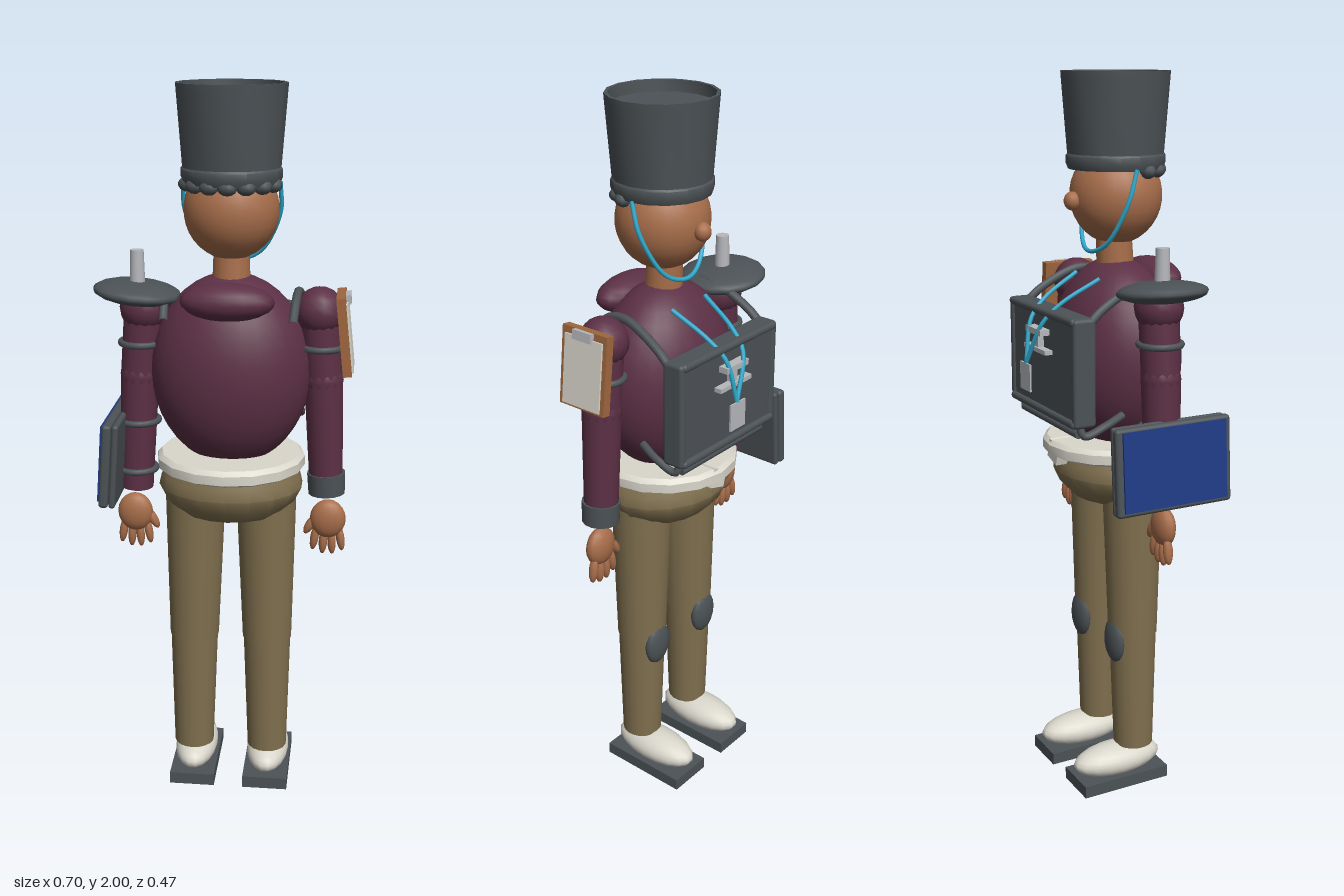
import * as THREE from 'three';
import { toCreasedNormals } from 'three/addons/utils/BufferGeometryUtils.js';
import { RoundedBoxGeometry } from 'three/addons/geometries/RoundedBoxGeometry.js';

const mat = (name, color) => Object.assign(new THREE.MeshStandardMaterial({ color }), { name });

export function createModel() {
  const grey = mat('charcoal', 0x4c5256), maroon = mat('maroon cloth', 0x5c3045), khaki = mat('khaki cloth', 0x80704f),
    skin = mat('skin', 0xa86e4b), cream = mat('cream', 0xdad7cc), cyan = mat('cyan cord', 0x2fa9cc),
    navy = mat('navy screen', 0x1f3a86), silver = mat('silver', 0xb6b8bc), wood = mat('wood', 0xa0683f);

  // everything is symmetric about the body axis, which is slightly off centre
  const body = new THREE.Group();
  body.name = 'body';
  body.position.set(0.018, 0, 0.027);

  const add = (name, geo, m, pos = [0, 0, 0], rot = [0, 0, 0], parent = body) => {
    const mesh = new THREE.Mesh(geo, m);
    mesh.name = name;
    mesh.position.set(...pos);
    mesh.rotation.set(...rot);
    parent.add(mesh);
    return mesh;
  };
  const ball = (name, m, pos, r, seg = 16, rot, parent) =>
    add(name, new THREE.SphereGeometry(1, seg, Math.ceil(seg * 0.7)).scale(...r), m, pos, rot, parent);
  const box = (name, m, pos, s, rot, parent) => add(name, new THREE.BoxGeometry(...s), m, pos, rot, parent);
  const rounded = (name, m, pos, s, r, rot, parent) =>
    add(name, new RoundedBoxGeometry(...s, 2, r), m, pos, rot, parent);
  const limb = (name, m, a, b, ra, rb, seg = 14) => {
    const A = new THREE.Vector3(...a), B = new THREE.Vector3(...b);
    const mesh = add(name, new THREE.CylinderGeometry(ra, rb, A.distanceTo(B), seg), m);
    mesh.position.copy(A).lerp(B, 0.5);
    mesh.quaternion.setFromUnitVectors(new THREE.Vector3(0, 1, 0), A.sub(B).normalize());
    return mesh;
  };
  const cord = (name, m, pts, r, seg = 20) => {
    const curve = new THREE.CatmullRomCurve3(pts.map(p => new THREE.Vector3(...p)));
    return add(name, new THREE.TubeGeometry(curve, seg, r, 8), m);
  };
  const lathe = (pts, seg) =>
    toCreasedNormals(new THREE.LatheGeometry(pts.map(p => new THREE.Vector2(...p)), seg), 0.7);

  // tall hat with a recessed crown
  add('hat', lathe([[0, 1.75], [0.127, 1.75], [0.133, 1.765], [0.133, 1.785], [0.129, 1.79], [0.144, 1.985],
    [0.145, 2], [0.136, 2], [0.134, 1.97], [0, 1.97]], 16), grey);

  // head
  ball('head', skin, [0, 1.68, 0], [0.126, 0.13, 0.124], 24);
  ball('nose', skin, [0, 1.67, -0.13], [0.024, 0.025, 0.022], 12);
  limb('neck', skin, [0, 1.57, -0.005], [0, 1.46, 0], 0.048, 0.052);
  for (let i = 0; i < 7; i++) {
    const a = -1.25 + i * 2.5 / 6;
    ball('hairCurl', grey, [Math.sin(a) * 0.115, 1.748, Math.cos(a) * 0.112], [0.026, 0.02, 0.022], 10);
  }
  cord('chinStrap', cyan, [[-0.126, 1.755, -0.005], [-0.126, 1.67, -0.03], [-0.07, 1.56, -0.065], [0, 1.535, -0.08],
    [0.07, 1.56, -0.065], [0.126, 1.67, -0.03], [0.126, 1.755, -0.005]], 0.006, 32);

  // torso, hood, belt and hips
  ball('torso', maroon, [0, 1.25, 0], [0.217, 0.265, 0.169], 28);
  ball('hood', maroon, [0, 1.458, 0.112], [0.124, 0.05, 0.062], 16);
  add('belt', lathe([[0, 0.975], [0.185, 0.975], [0.204, 0.985], [0.204, 1.01], [0.192, 1.022], [0, 1.022]], 16), cream);
  box('buckle', cream, [0, 0.99, -0.165], [0.055, 0.055, 0.06], [0, 0, 0.3]);
  add('hips', lathe([[0, 0.82], [0.07, 0.827], [0.14, 0.85], [0.18, 0.885], [0.2, 0.925], [0.193, 0.955], [0.18, 0.985],
    [0, 0.985]], 18).scale(1, 1, 0.86), khaki);

  for (const s of [-1, 1]) {
    // leg, knee pad and shoe
    limb('thigh', khaki, [s * 0.099, 0.9, 0], [s * 0.105, 0.46, 0], 0.084, 0.07, 18);
    limb('shin', khaki, [s * 0.105, 0.48, 0], [s * 0.108, 0.11, 0.002], 0.068, 0.057, 18);
    ball('kneePad', grey, [s * 0.105, 0.44, -0.058], [0.048, 0.066, 0.022], 14);
    ball('shoe', cream, [s * 0.107, 0.068, -0.052], [0.062, 0.047, 0.136], 18);
    box('sole', grey, [s * 0.107, 0.018, -0.052], [0.13, 0.035, 0.268]);

    // arm
    ball('shoulder', maroon, [s * 0.236, 1.415, 0], [0.066, 0.066, 0.066], 14);
    limb('upperArm', maroon, [s * 0.235, 1.415, 0], [s * 0.25, 1.23, 0], 0.054, 0.052);
    ball('elbow', maroon, [s * 0.25, 1.23, 0], [0.054, 0.054, 0.054], 14);
    limb('forearm', maroon, [s * 0.25, 1.23, 0], [s * 0.265, 0.905, 0], 0.053, 0.046);

    // hand with four fingers and a thumb
    ball('palm', skin, [s * 0.271, 0.827, 0], [0.05, 0.056, 0.028], 14);
    for (let i = 0; i < 4; i++)
      ball('finger', skin, [s * (0.235 + i * 0.024), i % 3 ? 0.757 : 0.768, -0.005], [0.012, 0.038, 0.014], 10,
        [0, 0, s * (i - 1.5) * 0.1]);
    ball('thumb', skin, [s * 0.222, 0.806, -0.005], [0.013, 0.032, 0.014], 10, [0, 0, s * -0.5]);

    // pack straps over the shoulder and at the waist
    cord('shoulderStrap', grey, [[s * 0.19, 1.37, -0.185], [s * 0.187, 1.41, -0.14], [s * 0.178, 1.462, -0.03],
      [s * 0.175, 1.455, 0.03], [s * 0.17, 1.4, 0.095]], 0.012);
    cord('waistStrap', grey, [[s * 0.17, 1.12, -0.2], [s * 0.18, 1.08, -0.19], [s * 0.185, 1.1, -0.13],
      [s * 0.17, 1.12, -0.07]], 0.011);
  }

  // chest pack with a raised rim
  rounded('pack', grey, [0, 1.25, -0.195], [0.37, 0.27, 0.055], 0.01);
  for (const s of [-1, 1]) {
    rounded('packSideRim', grey, [s * 0.19, 1.25, -0.195], [0.025, 0.29, 0.065], 0.011);
    rounded('packEndRim', grey, [0, 1.25 + s * 0.135, -0.2], [0.39, 0.022, 0.065], 0.01);
  }
  limb('packLowerBar', grey, [-0.17, 1.082, -0.2], [0.17, 1.082, -0.2], 0.011, 0.011, 10);

  // metal fittings, lanyard and badge
  box('fittingBar', silver, [0, 1.335, -0.235], [0.09, 0.016, 0.03]);
  box('fittingBar', silver, [0, 1.285, -0.235], [0.13, 0.012, 0.022]);
  box('fittingPost', silver, [0, 1.31, -0.23], [0.02, 0.055, 0.02]);
  for (const s of [-1, 1])
    cord('lanyard', cyan, [[s * 0.068, 1.47, -0.085], [s * 0.05, 1.41, -0.19], [s * 0.036, 1.36, -0.238],
      [0.018, 1.245, -0.262]], 0.006);
  box('badge', silver, [0.018, 1.208, -0.264], [0.062, 0.075, 0.005]);

  // domed shoulder plate with a peg
  ball('shoulderPlate', grey, [-0.253, 1.457, 0], [0.119, 0.03, 0.121], 16, [0, 0, -0.1]);
  add('peg', new THREE.CylinderGeometry(0.018, 0.021, 0.1, 14), silver, [-0.252, 1.52, 0]);

  // clipboard on the left arm
  const clipboard = new THREE.Group();
  clipboard.name = 'clipboard';
  clipboard.position.set(0.303, 1.36, 0);
  clipboard.rotation.z = 0.11;
  body.add(clipboard);
  box('board', wood, [0, 0, 0], [0.024, 0.21, 0.15], undefined, clipboard);
  box('paper', cream, [0.0145, -0.006, 0], [0.005, 0.185, 0.125], undefined, clipboard);
  box('clip', silver, [0.018, 0.092, 0], [0.014, 0.025, 0.062], undefined, clipboard);
  const band = (name, x, y, r, rot = 0) =>
    add(name, new THREE.TorusGeometry(r, 0.009, 8, 18), grey, [x, y, 0], [Math.PI / 2, rot, 0]);
  band('armBand', 0.243, 1.32, 0.056);
  limb('wristCuff', grey, [0.263, 0.965, 0], [0.266, 0.905, 0], 0.053, 0.051);

  // tablet on the right forearm
  const tablet = new THREE.Group();
  tablet.name = 'tablet';
  tablet.position.set(-0.318, 1.012, -0.003);
  tablet.rotation.z = -0.07;
  body.add(tablet);
  rounded('tabletBack', grey, [0.017, 0, 0], [0.018, 0.235, 0.335], 0.008, undefined, tablet);
  rounded('tabletBody', grey, [-0.006, 0, 0], [0.026, 0.235, 0.343], 0.01, undefined, tablet);
  box('tabletScreen', navy, [-0.0215, 0.002, 0], [0.006, 0.212, 0.308], undefined, tablet);
  band('forearmBand', -0.255, 1.1, 0.054);
  band('forearmBand', -0.262, 0.96, 0.052);
  band('armBand', -0.244, 1.32, 0.056);
  for (const y of [0.96, 1.1]) box('tabletMount', grey, [-0.294, y, 0], [0.03, 0.018, 0.05]);

  const model = new THREE.Group();
  model.name = 'figure';
  model.add(body);
  return model;
}
